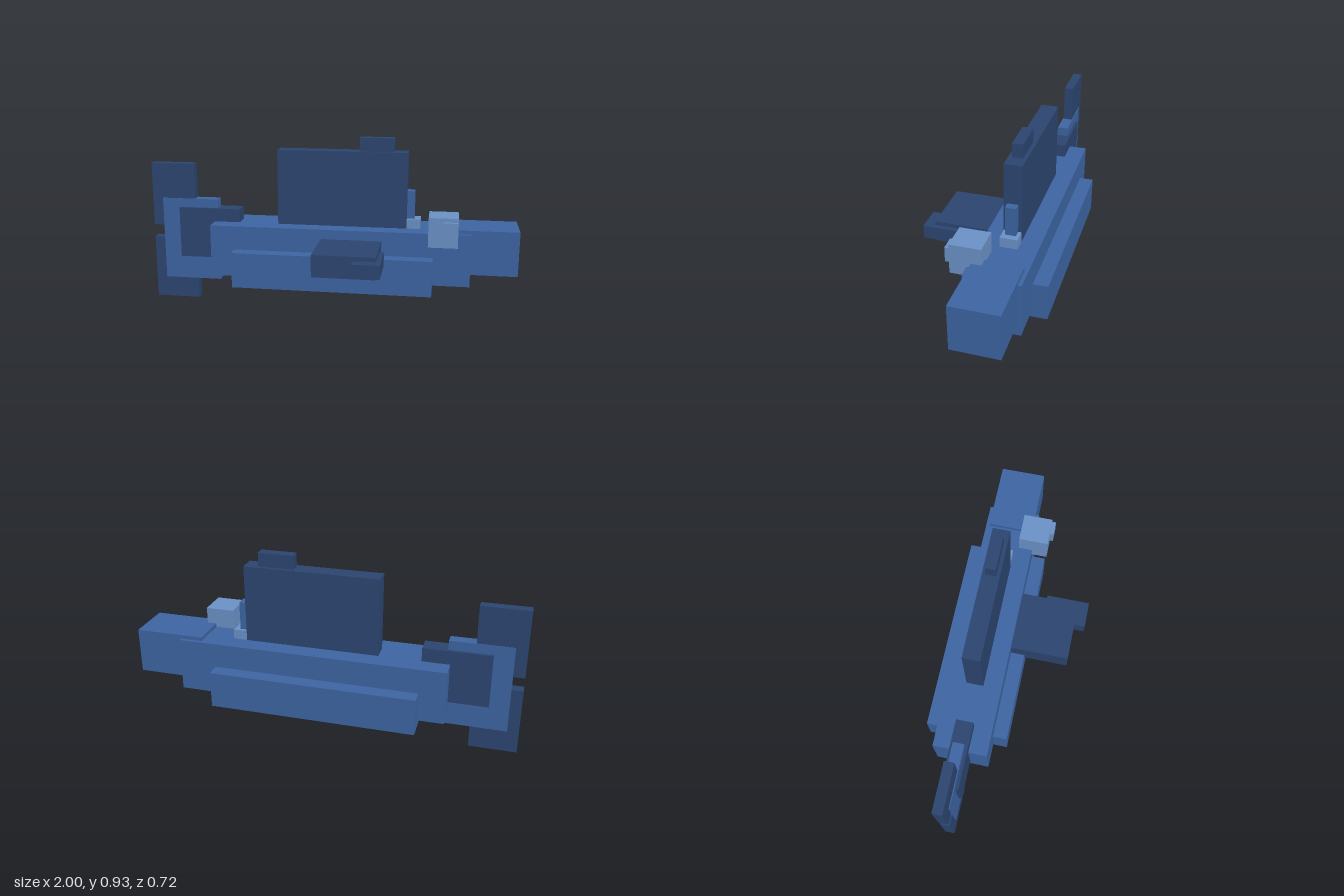
import * as THREE from 'three';

export function createModel() {
  const model = new THREE.Group();
  model.name = 'blockFish';

  const material = (name, color) => {
    const m = new THREE.MeshStandardMaterial({ color });
    m.name = name;
    return m;
  };
  const midBlue = material('midBlue', 0x3c64a2);
  const darkBlue = material('darkBlue', 0x2b4570);
  const lightBlue = material('lightBlue', 0x6a91c6);

  // Box given by its extents along each axis
  function block(name, mat, [x0, x1], [y0, y1], [z0, z1]) {
    const mesh = new THREE.Mesh(new THREE.BoxGeometry(x1 - x0, y1 - y0, z1 - z0), mat);
    mesh.position.set((x0 + x1) / 2, (y0 + y1) / 2, (z0 + z1) / 2);
    mesh.name = name;
    model.add(mesh);
  }

  // Depth ranges shared by the thin parts
  const thin = [-0.172, -0.118];
  const wide = [-0.19, -0.1];

  // Body, belly and snout
  block('body', midBlue, [-0.64, 0.755], [0.175, 0.455], [-0.285, -0.005]);
  block('belly', midBlue, [-0.507, 0.56], [0.134, 0.326], [-0.36, 0.068]);
  block('snout', midBlue, [0.637, 1], [0.237, 0.475], [-0.266, -0.025]);

  // Back fin with its tip and the small blocks at its leading edge
  block('backFin', darkBlue, [-0.283, 0.415], [0.4, 0.86], wide);
  block('backFinTip', darkBlue, [0.158, 0.342], [0.8, 0.932], thin);
  block('backFinEdge', midBlue, [0.35, 0.455], [0.4, 0.655], thin);
  block('backFinFoot', lightBlue, [0.38, 0.487], [0.4, 0.506], [-0.189, -0.101]);

  // Tail root, tail plate and two lobes
  block('tailRoot', darkBlue, [-0.843, -0.5], [0.247, 0.527], wide);
  block('tailPlate', midBlue, [-0.942, -0.625], [0.116, 0.575], [-0.174, -0.116]);
  for (const [name, height] of [['upperTailLobe', [0.42, 0.77]], ['lowerTailLobe', [0, 0.35]]])
    block(name, darkBlue, [-1, -0.757], height, [-0.17, -0.12]);

  // Side fin and its tip
  block('sideFin', darkBlue, [-0.032, 0.29], [0.289, 0.404], [-0.1, 0.302]);
  block('sideFinTip', darkBlue, [0.174, 0.315], [0.311, 0.382], [0.128, 0.36]);

  // Eye and pupil block
  block('eye', lightBlue, [0.534, 0.685], [0.405, 0.56], [-0.077, 0.079]);
  block('pupil', lightBlue, [0.608, 0.684], [0.464, 0.54], [0, 0.099]);

  return model;
}
